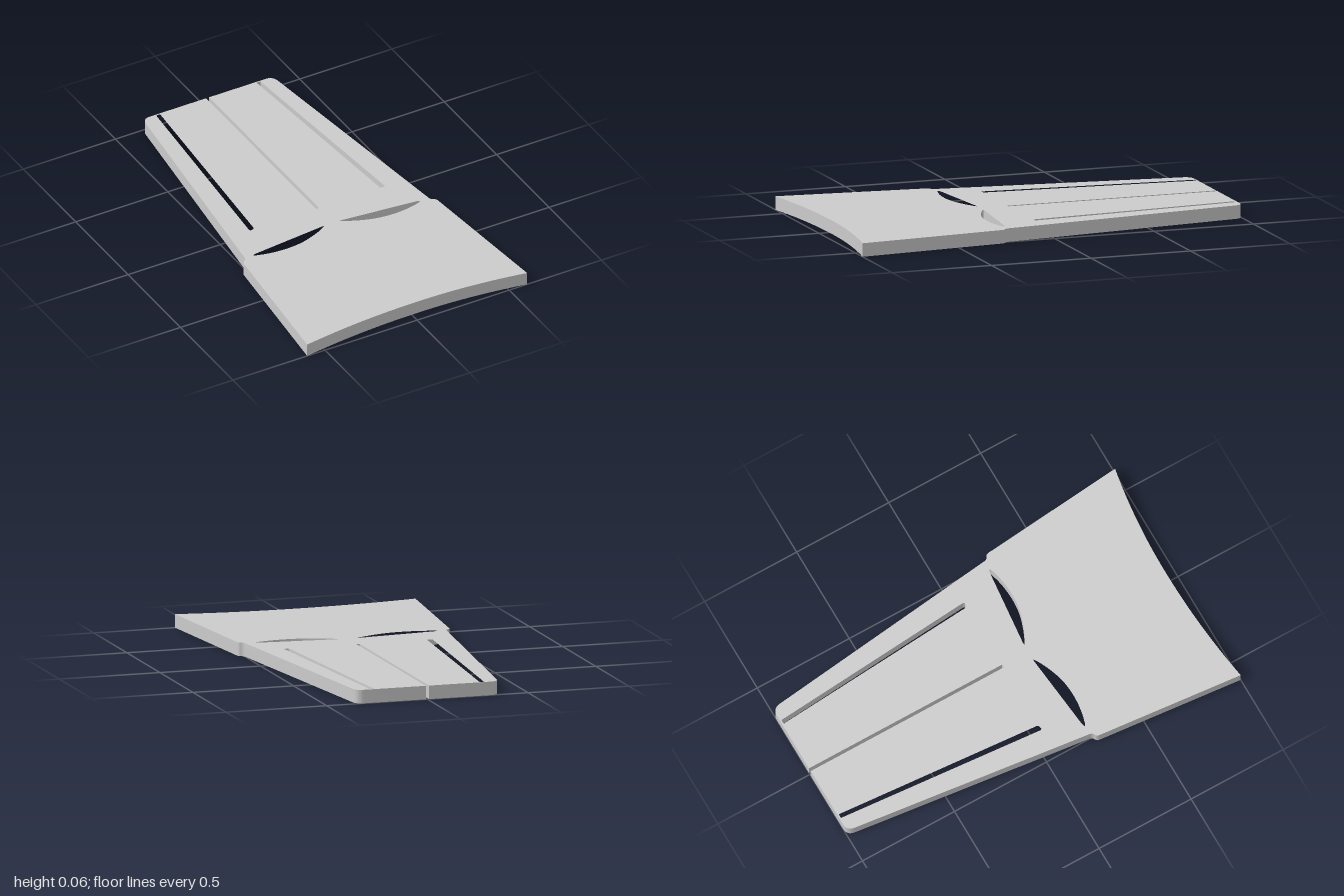
import * as THREE from 'three';
import { toCreasedNormals } from 'three/addons/utils/BufferGeometryUtils.js';

const THICKNESS = 0.065;

// Closed slot near one side, running from the back edge towards the middle
function sideSlot(s) {
  return new THREE.Path([
    [0.262, -0.993], [0.283, -0.993], [0.368, 0.043], [0.364, 0.05], [0.346, 0.047], [0.341, 0.04],
  ].map(([x, z]) => new THREE.Vector2(s * x, z)));
}

// Leaf-shaped opening: straight rear edge, bowed front edge
function leafOpening(s) {
  const p = new THREE.Path();
  p.moveTo(s * 0.043, 0.19);
  p.lineTo(s * 0.055, 0.189);
  p.lineTo(s * 0.435, 0.228);
  p.quadraticCurveTo(s * 0.47, 0.234, s * 0.435, 0.244);
  p.bezierCurveTo(s * 0.34, 0.273, s * 0.235, 0.27, s * 0.165, 0.246);
  p.quadraticCurveTo(s * 0.09, 0.222, s * 0.043, 0.19);
  return p;
}

export function createModel() {
  const group = new THREE.Group();
  group.name = 'taperedPanel';

  // Plan outline drawn as x against z
  const plan = new THREE.Shape();
  plan.moveTo(-0.597, 1);
  plan.quadraticCurveTo(-0.3, 0.951, 0, 0.949); // concave front edge
  plan.quadraticCurveTo(0.3, 0.945, 0.597, 1);
  plan.lineTo(0.527, 0.27); // right-hand flank with a small step
  plan.quadraticCurveTo(0.525, 0.258, 0.513, 0.253);
  plan.quadraticCurveTo(0.502, 0.248, 0.5, 0.235);
  plan.lineTo(0.358, -0.96);
  plan.quadraticCurveTo(0.352, -1, 0.315, -1); // rounded back corner
  plan.lineTo(0.008, -1); // centre slit, open at the back
  plan.lineTo(0.008, 0.05);
  plan.lineTo(-0.008, 0.05);
  plan.lineTo(-0.008, -1);
  plan.lineTo(-0.315, -1);
  plan.quadraticCurveTo(-0.352, -1, -0.358, -0.96);
  plan.lineTo(-0.5, 0.235); // opposite flank
  plan.quadraticCurveTo(-0.502, 0.248, -0.513, 0.253);
  plan.quadraticCurveTo(-0.525, 0.258, -0.527, 0.27);
  plan.closePath();

  for (const s of [-1, 1]) plan.holes.push(sideSlot(s), leafOpening(s));

  // Extrude, then lay flat on the ground
  const geometry = new THREE.ExtrudeGeometry(plan, {
    depth: THICKNESS, bevelEnabled: false, curveSegments: 16,
  });
  geometry.rotateX(Math.PI / 2);
  geometry.translate(0, THICKNESS, 0);

  const panel = new THREE.Mesh(
    toCreasedNormals(geometry, Math.PI / 6),
    new THREE.MeshStandardMaterial({ color: 0xcccccc }),
  );
  panel.name = 'panel';
  group.add(panel);
  return group;
}
